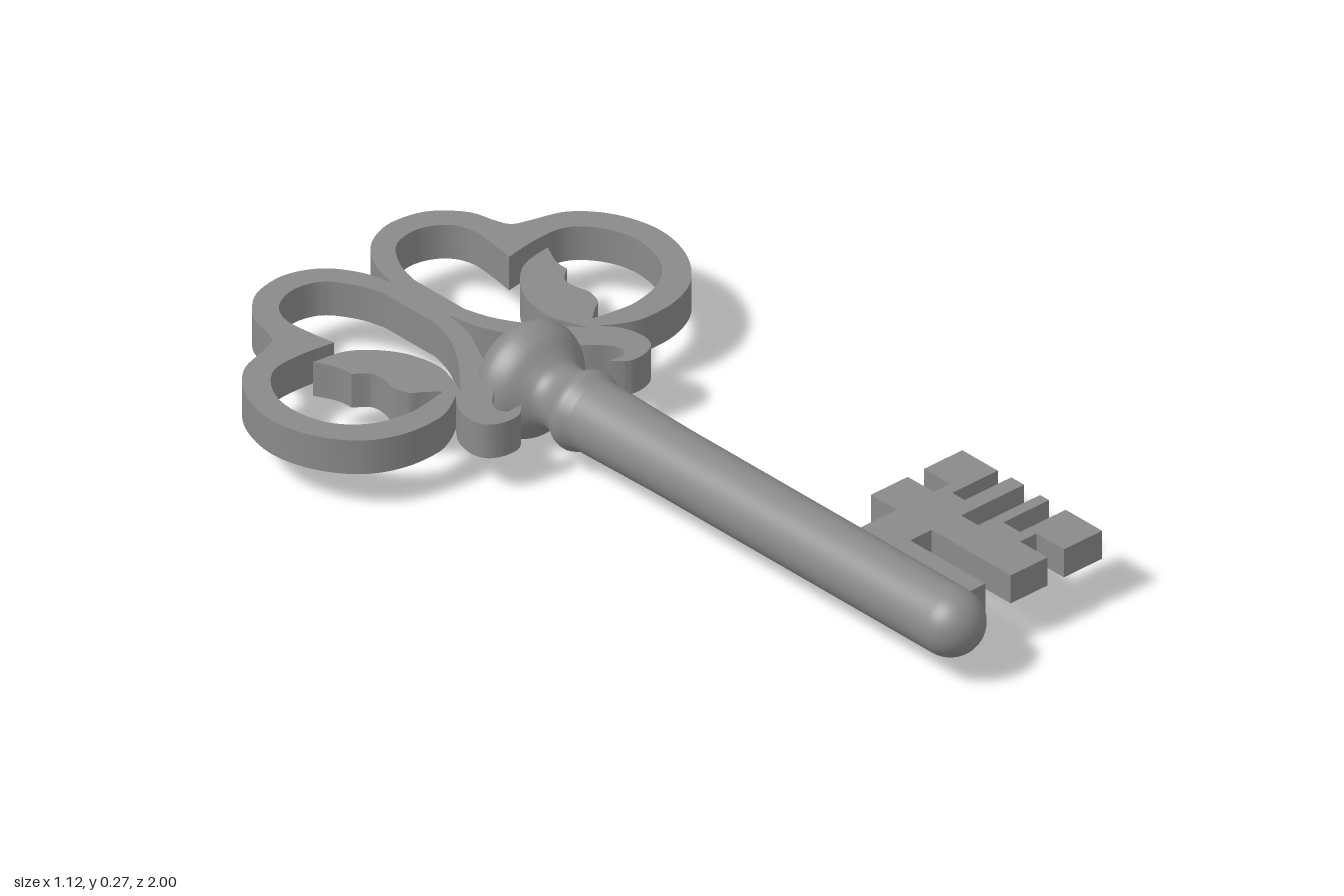
import * as THREE from 'three';
import { toCreasedNormals } from 'three/addons/utils/BufferGeometryUtils.js';

const AXIS_Y = 0.135;
const material = new THREE.MeshStandardMaterial({ color: 0x8a8a8a });

// Closed outline made of smooth runs that meet at sharp corners; points are [x, z].
// Both sides come out in the same winding, so every wall faces outward.
function outline(runs, side) {
  const pts = [];
  for (const run of runs) {
    const v = run.map(([x, z]) => new THREE.Vector2(x * side, -z));
    const smooth = v.length > 2 ? new THREE.SplineCurve(v).getPoints((v.length - 1) * 6) : v;
    pts.push(...smooth.slice(0, -1));
  }
  return side > 0 ? pts.reverse() : pts;
}

// Flat plate lying in the xz plane, centred on the shaft axis
function plate(shape, thickness, name) {
  const geo = new THREE.ExtrudeGeometry(shape, { depth: thickness, bevelEnabled: false });
  geo.translate(0, 0, -thickness / 2);
  geo.rotateX(-Math.PI / 2);
  const mesh = new THREE.Mesh(toCreasedNormals(geo, 0.6), material);
  mesh.position.y = AXIS_Y;
  mesh.name = name;
  return mesh;
}

// Half of the bow: outer lobes, curl under the knob, inner stem edge
const bowOuter = [
  [[0, -0.82], [0.018, -0.89], [0.06, -0.955], [0.115, -0.99], [0.175, -1.0], [0.25, -0.98],
    [0.31, -0.92], [0.328, -0.86], [0.345, -0.823], [0.39, -0.806], [0.465, -0.78], [0.525, -0.715],
    [0.556, -0.63], [0.556, -0.55], [0.525, -0.465], [0.465, -0.395], [0.385, -0.36], [0.3, -0.356],
    [0.25, -0.372], [0.205, -0.4]],
  [[0.205, -0.4], [0.235, -0.36], [0.248, -0.31], [0.238, -0.272], [0.205, -0.252], [0.16, -0.252],
    [0.128, -0.28]],
  [[0.128, -0.28], [0.168, -0.278]],
  [[0.168, -0.278], [0.18, -0.3], [0.165, -0.33], [0.13, -0.365], [0.09, -0.425], [0.045, -0.505],
    [0.014, -0.575], [0, -0.65]],
  [[0, -0.65], [0, -0.82]],
];
// Opening of the half, with the leaf growing into it from below
const bowOpening = [
  [[0.185, -0.408], [0.115, -0.49], [0.065, -0.57], [0.042, -0.64]],
  [[0.042, -0.64], [0.042, -0.8]],
  [[0.042, -0.8], [0.06, -0.86], [0.1, -0.92], [0.15, -0.942], [0.2, -0.938], [0.245, -0.91],
    [0.267, -0.86], [0.262, -0.79], [0.252, -0.73]],
  [[0.252, -0.73], [0.34, -0.742], [0.42, -0.735], [0.475, -0.68], [0.498, -0.6], [0.478, -0.505],
    [0.415, -0.44], [0.33, -0.416], [0.27, -0.42], [0.215, -0.43]],
  [[0.215, -0.43], [0.245, -0.455], [0.272, -0.475], [0.284, -0.515]],
  [[0.284, -0.515], [0.275, -0.55], [0.278, -0.585], [0.31, -0.612]],
  [[0.31, -0.612], [0.313, -0.65], [0.338, -0.703]],
  [[0.338, -0.703], [0.26, -0.688], [0.205, -0.645], [0.167, -0.585], [0.153, -0.51], [0.168, -0.45],
    [0.185, -0.408]],
];

// Toothed bit outline, walked around its notches
const bitOutline = [
  [0.02, 0.56], [0.18, 0.56], [0.18, 0.479], [0.286, 0.479], [0.286, 0.56], [0.333, 0.56],
  [0.333, 0.479], [0.443, 0.479], [0.443, 0.59], [0.312, 0.59], [0.312, 0.629], [0.446, 0.629],
  [0.446, 0.669], [0.265, 0.669], [0.265, 0.722], [0.443, 0.722], [0.443, 0.75], [0.312, 0.75],
  [0.312, 0.802], [0.443, 0.802], [0.443, 0.916], [0.333, 0.916], [0.333, 0.83], [0.286, 0.83],
  [0.286, 0.916], [0.18, 0.916], [0.18, 0.669], [0.118, 0.669], [0.118, 0.904], [0.02, 0.904],
];

export function createModel() {
  const key = new THREE.Group();
  key.name = 'key';

  // Mirrored bow halves, meeting along the stem
  for (const side of [1, -1]) {
    const shape = new THREE.Shape(outline(bowOuter, side));
    shape.holes.push(new THREE.Path(outline(bowOpening, side)));
    key.add(plate(shape, 0.084, side > 0 ? 'leftBow' : 'rightBow'));
  }

  // Toothed bit
  const bit = new THREE.Shape(bitOutline.map(([x, z]) => new THREE.Vector2(x, -z)));
  key.add(plate(bit, 0.07, 'bit'));

  // Turned knob, neck and collar
  const knobCurve = new THREE.SplineCurve([
    [0, -0.472], [0.055, -0.468], [0.1, -0.449], [0.128, -0.415], [0.134, -0.388], [0.121, -0.352],
    [0.094, -0.322], [0.077, -0.3], [0.073, -0.275], [0.08, -0.25], [0.09, -0.232], [0.092, -0.215],
    [0.086, -0.198], [0.081, -0.185],
  ].map(([r, z]) => new THREE.Vector2(r, z)));
  const profile = knobCurve.getPoints(60);
  profile[0].x = 0;

  // Shaft with a slight taper and a round tip
  profile.push(new THREE.Vector2(0.08, -0.12), new THREE.Vector2(0.077, 0.05));
  for (let i = 0; i <= 12; i++) {
    const a = (i / 12) * Math.PI / 2;
    profile.push(new THREE.Vector2(0.077 * Math.cos(a), 0.923 + 0.077 * Math.sin(a)));
  }
  const shaftGeo = new THREE.LatheGeometry(profile, 48);
  shaftGeo.rotateX(Math.PI / 2);
  const shaft = new THREE.Mesh(shaftGeo, material);
  shaft.position.y = AXIS_Y;
  shaft.name = 'shaft';
  key.add(shaft);

  return key;
}
